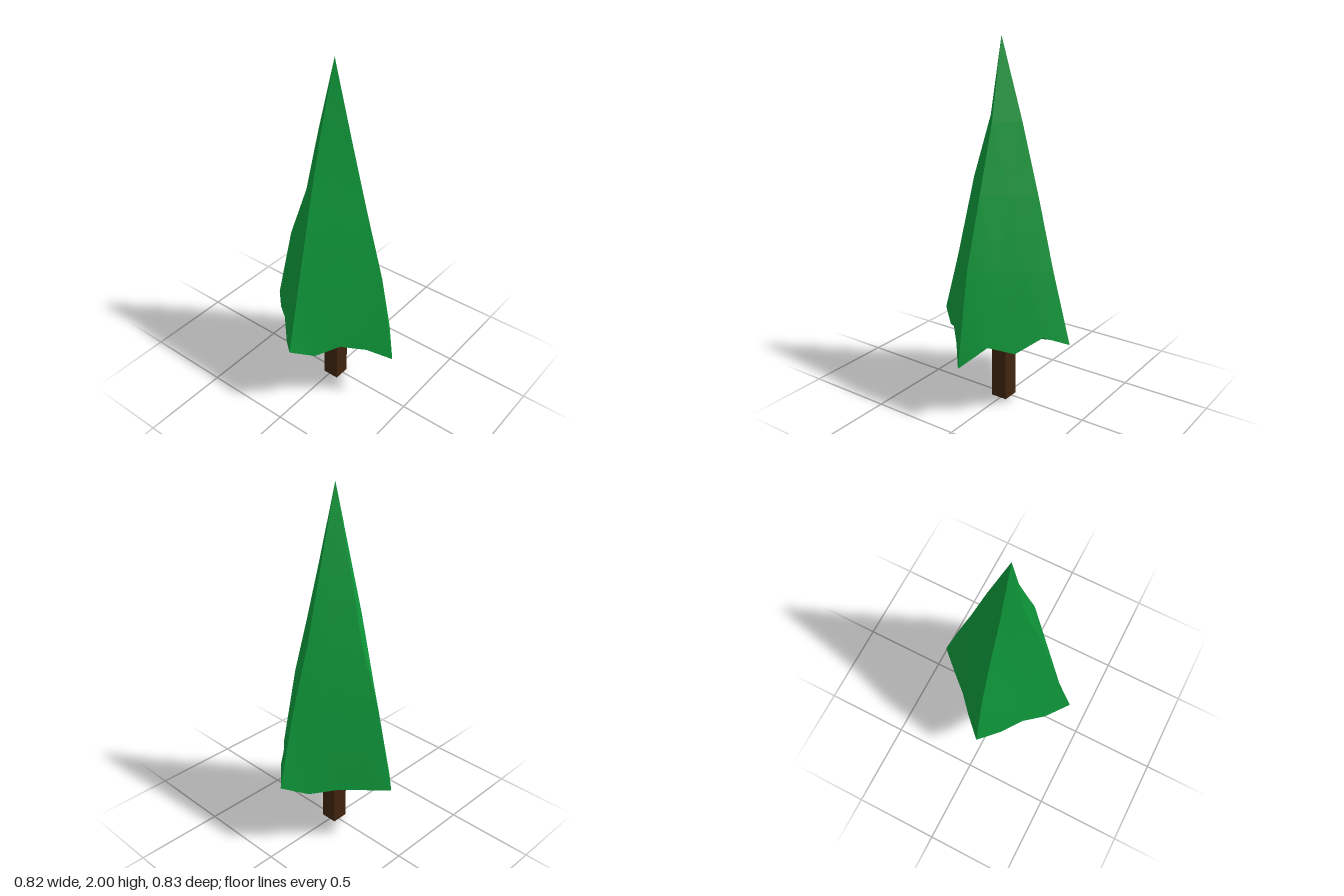
import * as THREE from 'three';
import { toCreasedNormals } from 'three/addons/utils/BufferGeometryUtils.js';

const V = (x, y, z) => new THREE.Vector3(x, y, z);

const leafGreen = new THREE.MeshStandardMaterial({ color: 0x0f9a3b });
leafGreen.name = 'leafGreen';
const barkBrown = new THREE.MeshStandardMaterial({ color: 0x40240f });
barkBrown.name = 'barkBrown';

// Ragged lower rim, four steps per side, starting at the front corner and going front, left, back, right
const rim = [
  V(-0.015, 0.33, 0.415), V(0.1, 0.44, 0.31), V(0.2, 0.39, 0.205), V(0.31, 0.475, 0.105),
  V(0.41, 0.42, 0), V(0.3, 0.375, -0.1), V(0.19, 0.395, -0.2), V(0.1, 0.4, -0.3),
  V(-0.015, 0.395, -0.415), V(-0.12, 0.4, -0.31), V(-0.21, 0.44, -0.2), V(-0.31, 0.38, -0.1),
  V(-0.415, 0.44, 0.015), V(-0.31, 0.39, 0.105), V(-0.21, 0.44, 0.2), V(-0.11, 0.405, 0.305),
];
const apex = V(-0.02, 2, 0.012);

// Slightly bent corner ridges, from high to low, between apex and rim
const ridges = [
  [V(-0.008, 1.57, 0.115), V(-0.012, 1.22, 0.215), V(-0.015, 0.85, 0.325)],
  [V(0.1, 1.58, 0), V(0.2, 1.2, -0.005), V(0.307, 0.81, 0.008)],
  [V(-0.018, 1.58, -0.095), V(-0.007, 1.2, -0.19), V(-0.012, 0.87, -0.307)],
  [V(-0.107, 1.59, -0.013), V(-0.21, 1.25, 0), V(-0.328, 0.77, 0.006)],
];

// Heights of the lumpy underside, ring by ring outward
const underCentre = V(-0.01, 0.42, 0.01);
const underHeights = [
  [0.4, 0.42, 0.39, 0.41],
  [0.43, 0.38, 0.42, 0.355, 0.41, 0.43, 0.39, 0.43],
  [0.39, 0.41, 0.45, 0.42, 0.37, 0.4, 0.43, 0.38, 0.42, 0.355, 0.37, 0.43],
];

// Fill one triangular sector whose row r holds r + 1 points
function fillSector(out, rows, flip) {
  const tri = (a, b, c) => (flip ? [a, c, b] : [a, b, c]).forEach((p) => out.push(p));
  for (let r = 1; r < rows.length; r++) {
    for (let i = 0; i < r; i++) {
      tri(rows[r - 1][i], rows[r][i], rows[r][i + 1]);
      if (i < r - 1) tri(rows[r - 1][i], rows[r][i + 1], rows[r - 1][i + 1]);
    }
  }
}

function sectorRim(side) {
  return [0, 1, 2, 3, 4].map((i) => rim[(side * 4 + i) % 16]);
}

function toGeometry(points) {
  return toCreasedNormals(new THREE.BufferGeometry().setFromPoints(points), 0.4);
}

// Four tall sides of the crown
function crownGeometry() {
  const points = [];
  for (let side = 0; side < 4; side++) {
    const a = ridges[side], b = ridges[(side + 1) % 4];
    const rows = [[apex]];
    for (let r = 1; r < 4; r++) {
      rows.push(Array.from({ length: r + 1 }, (_, i) => a[r - 1].clone().lerp(b[r - 1], i / r)));
    }
    rows.push(sectorRim(side));
    fillSector(points, rows, false);
  }
  return toGeometry(points);
}

// Lumpy underside closing the crown
function undersideGeometry() {
  const points = [];
  for (let side = 0; side < 4; side++) {
    const edge = sectorRim(side);
    const rows = [[underCentre]];
    for (let r = 1; r < 4; r++) {
      rows.push(Array.from({ length: r + 1 }, (_, i) => {
        const p = edge[0].clone().lerp(edge[4], i / r);
        p.lerpVectors(underCentre, p, r / 4);
        p.y = underHeights[r - 1][(side * r + i) % (4 * r)];
        return p;
      }));
    }
    rows.push(edge);
    fillSector(points, rows, true);
  }
  return toGeometry(points);
}

export function createModel() {
  const tree = new THREE.Group();
  tree.name = 'tree';
  const add = (name, geometry, material) => {
    const mesh = new THREE.Mesh(geometry, material);
    mesh.name = name;
    tree.add(mesh);
    return mesh;
  };

  add('crown', crownGeometry(), leafGreen);
  add('crownUnderside', undersideGeometry(), leafGreen);
  add('trunk', new THREE.BoxGeometry(0.095, 0.45, 0.095), barkBrown).position.set(-0.01, 0.225, 0.01);
  return tree;
}
